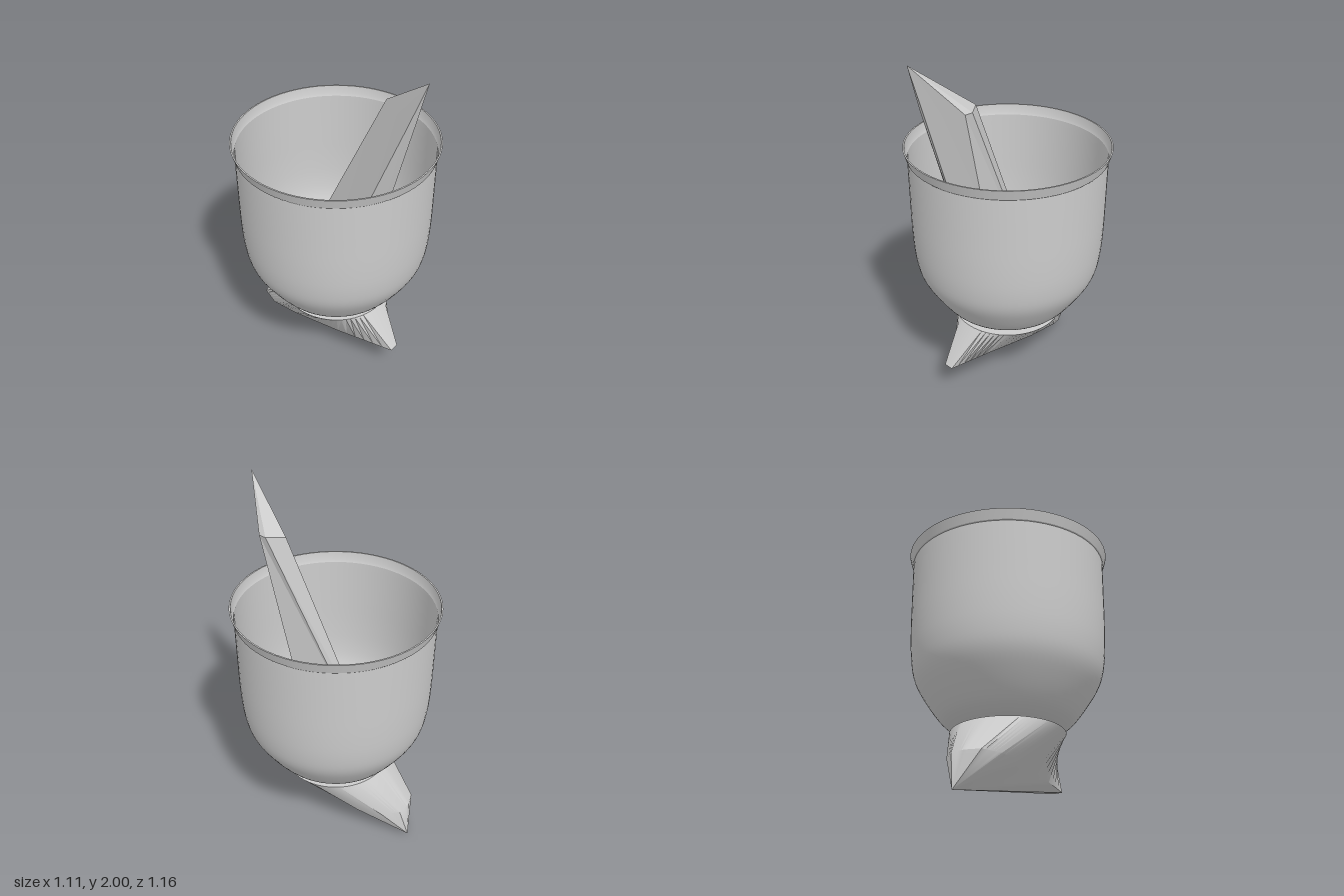
import * as THREE from 'three';
import { toCreasedNormals } from 'three/addons/utils/BufferGeometryUtils.js';

const V = (x, y, z) => new THREE.Vector3(x, y, z);

// Skins a stack of rings, listed from top to bottom; a one-point ring is an apex.
function loft(rings, crease) {
  const n = Math.max(...rings.map(r => r.length));
  const at = (r, i) => r[i % r.length];
  const pos = [];
  const tri = (a, b, c) => {
    if (a !== b && b !== c && a !== c) for (const p of [a, b, c]) pos.push(p.x, p.y, p.z);
  };
  for (let k = 0; k < rings.length - 1; k++) {
    const t = rings[k], b = rings[k + 1];
    for (let i = 0; i < n; i++) {
      tri(at(t, i), at(b, i), at(b, i + 1));
      tri(at(t, i), at(b, i + 1), at(t, i + 1));
    }
  }
  const g = new THREE.BufferGeometry();
  g.setAttribute('position', new THREE.Float32BufferAttribute(pos, 3));
  return toCreasedNormals(g, crease);
}

export function createModel() {
  const group = new THREE.Group();
  const grey = new THREE.MeshStandardMaterial({ color: 0xcccccc, side: THREE.DoubleSide });
  grey.name = 'plain grey';
  const add = (name, geometry) => {
    const mesh = new THREE.Mesh(geometry, grey);
    mesh.name = name;
    group.add(mesh);
    return mesh;
  };
  const axisZ = -0.02;

  // Thin open bowl with a smooth, rounded lower wall
  const wall = new THREE.SplineCurve([
    [0.305, 0.44], [0.36, 0.485], [0.435, 0.585], [0.495, 0.69], [0.52, 0.8],
    [0.53, 0.95], [0.533, 1.15], [0.535, 1.38],
  ].map(p => new THREE.Vector2(...p))).getPoints(28);
  const profile = [new THREE.Vector2(0, 0.412), new THREE.Vector2(0.245, 0.412), ...wall];
  add('bowl', toCreasedNormals(new THREE.LatheGeometry(profile, 72), 0.3)).position.z = axisZ;

  // Flared rim
  const rim = [[0.535, 1.38], [0.542, 1.395], [0.548, 1.44], [0.556, 1.44], [0.54, 1.385], [0.535, 1.38]]
    .map(p => new THREE.Vector2(...p));
  add('rim', toCreasedNormals(new THREE.LatheGeometry(rim, 72), 0.5)).position.z = axisZ;

  // Foot: a round top blending into a teardrop outline, then a slanted keel with one low point
  const teardrop = [
    [0, 0.44], [0.05, 0.2], [0.12, -0.1], [0.14, -0.28], [0.09, -0.42], [0.01, -0.49],
    [-0.07, -0.5], [-0.15, -0.47], [-0.19, -0.36], [-0.18, -0.2], [-0.13, 0.1], [-0.055, 0.44],
  ];
  const steps = 6, top = [], low = [];
  teardrop.forEach(([x, z], k) => {
    const [nx, nz] = teardrop[(k + 1) % teardrop.length];
    for (let s = 0; s < steps; s++) {
      const f = s / steps, a = (15 + 30 * (k + f)) * Math.PI / 180;
      top.push(V(0.305 * Math.sin(a), 0.405, axisZ + 0.305 * Math.cos(a)));
      low.push(V(x + (nx - x) * f, 0.19, z + (nz - z) * f));
    }
  });
  add('foot', loft([[V(0, 0.405, axisZ)], top, low, [V(-0.03, 0, -0.53)]], 0.5));

  // Leaning five-sided blade with a slanted pointed end
  const shoulder = [V(-0.1, 1.74, 0.49), V(-0.055, 1.75, 0.51), V(0.11, 1.75, 0.39), V(0.113, 1.75, 0.345), V(0.05, 1.75, 0.26)];
  const end = [V(-0.2, 0.52, 0.04), V(0, 0.5, 0.16), V(0.07, 0.5, 0.1), V(0, 0.65, -0.19), V(-0.02, 0.67, -0.22)];
  add('blade', loft([[V(-0.07, 2, 0.58)], shoulder, end, [V(-0.04, 0.58, -0.02)]], 0.1));

  return group;
}
